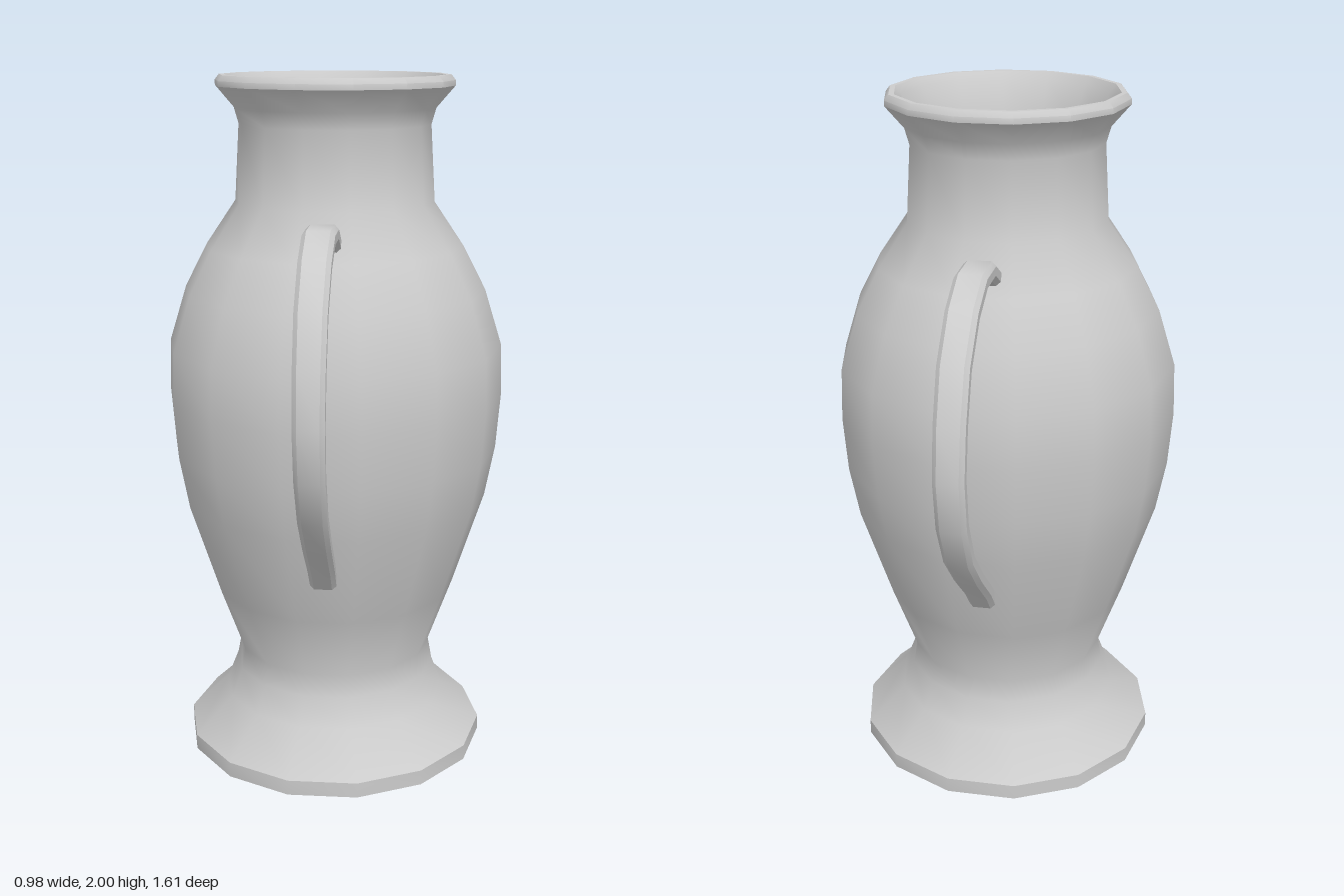
import * as THREE from 'three';
import { toCreasedNormals } from 'three/addons/utils/BufferGeometryUtils.js';

const CREASE = 0.68;
const vec = ([a, b]) => new THREE.Vector2(a, b);

// Sweep a chamfered strap section along a (z, y) path; the width tapers downwards
function strapGeometry(path) {
  const pts = path.map(vec);
  const t = 0.024, c = 0.012; // half thickness, chamfer
  const pos = [], idx = [], n = 8;
  pts.forEach((p, i) => {
    const a = pts[Math.max(i - 1, 0)], b = pts[Math.min(i + 1, pts.length - 1)];
    const d = b.clone().sub(a).normalize();
    const out = new THREE.Vector2(-d.y, d.x); // points away from the body
    const w = THREE.MathUtils.lerp(0.044, 0.037, i / (pts.length - 1));
    const section = [
      [w, t - c], [w - c, t], [c - w, t], [-w, t - c],
      [-w, c - t], [c - w, -t], [w - c, -t], [w, c - t],
    ];
    for (const [x, s] of section) pos.push(x, p.y + out.y * s, p.x + out.x * s);
  });
  for (let i = 0; i < pts.length - 1; i++) {
    for (let k = 0; k < n; k++) {
      const a = i * n + k, b = i * n + (k + 1) % n;
      idx.push(a, b, a + n, b, b + n, a + n);
    }
  }
  // End caps
  const last = (pts.length - 1) * n;
  for (let k = 1; k < n - 1; k++) {
    idx.push(0, k + 1, k, last, last + k, last + k + 1);
  }
  const g = new THREE.BufferGeometry();
  g.setAttribute('position', new THREE.Float32BufferAttribute(pos, 3));
  g.setIndex(idx);
  return toCreasedNormals(g, CREASE);
}

export function createModel() {
  const model = new THREE.Group();
  model.name = 'vase';
  const material = new THREE.MeshStandardMaterial({ color: 0xcccccc, side: THREE.DoubleSide });

  // Body: foot, belly, neck and rim outside, then the hollow inside
  const profile = [
    [0, 0], [0.45, 0], [0.45, 0.045], [0.335, 0.155], [0.302, 0.24], [0.29, 0.305],
    [0.36, 0.5], [0.45, 0.78], [0.478, 0.93], [0.49, 1.09], [0.485, 1.24],
    [0.435, 1.4], [0.37, 1.525], [0.285, 1.65], [0.272, 1.865],
    [0.285, 1.91], [0.337, 1.97], [0.337, 1.985], [0.325, 2], [0.31, 2],
    [0.295, 1.98], [0.25, 1.88], [0.24, 1.65], [0.205, 0.3], [0, 0.3],
  ].map(vec);
  const lathe = new THREE.LatheGeometry(profile, 14, Math.PI / 2);
  const body = new THREE.Mesh(toCreasedNormals(lathe, CREASE), material);
  body.name = 'body';
  model.add(body);

  // Two handles, front and back
  const handle = strapGeometry([
    [0.32, 1.57], [0.395, 1.612], [0.505, 1.612], [0.61, 1.563], [0.71, 1.463],
    [0.761, 1.333], [0.783, 1.2], [0.759, 1.063], [0.688, 0.935], [0.575, 0.82],
    [0.445, 0.705], [0.385, 0.64],
  ]);
  ['frontHandle', 'backHandle'].forEach((name, i) => {
    const mesh = new THREE.Mesh(handle, material);
    mesh.name = name;
    mesh.rotation.y = i * Math.PI;
    model.add(mesh);
  });
  return model;
}
